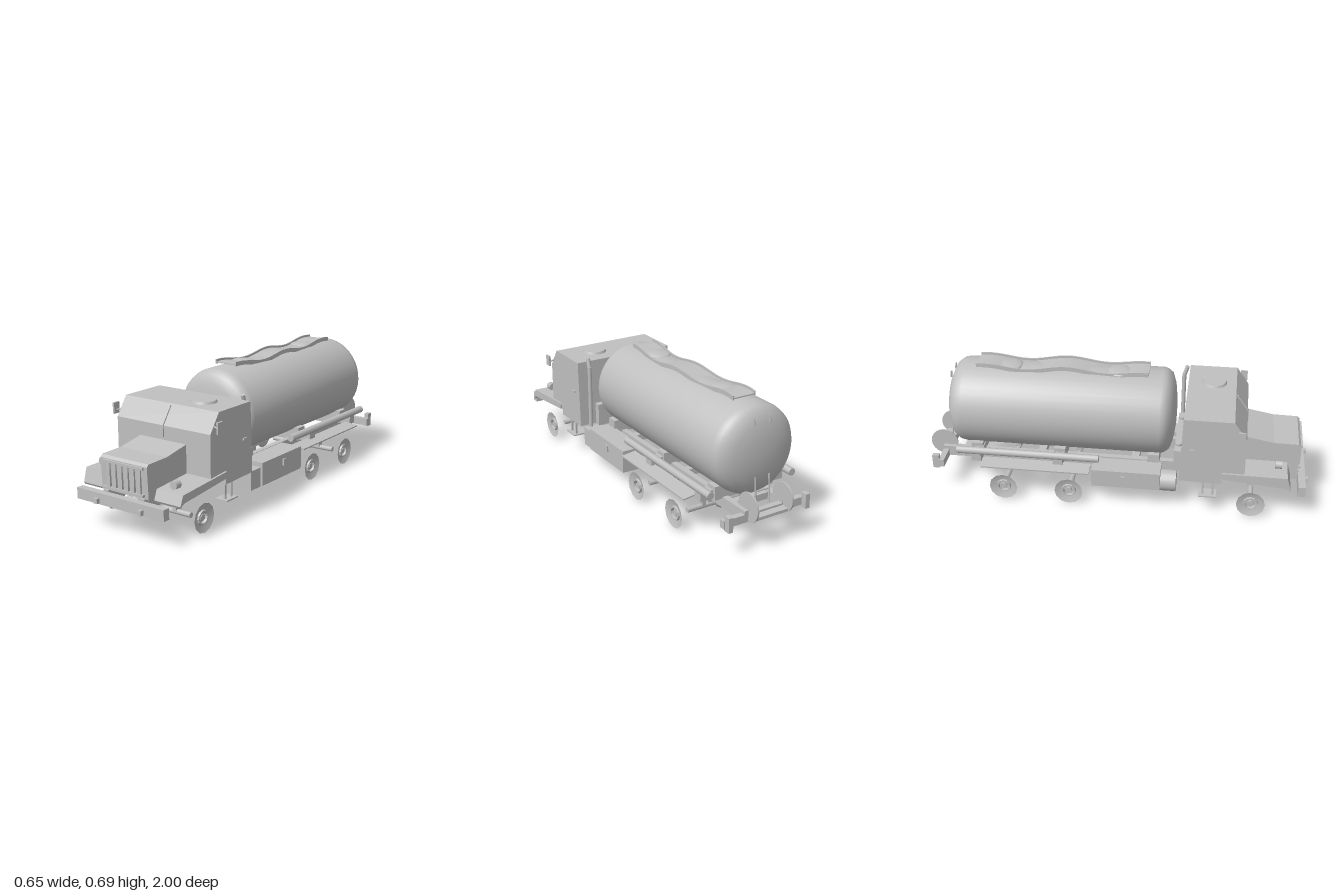
import * as THREE from 'three';
import { toCreasedNormals } from 'three/addons/utils/BufferGeometryUtils.js';

export function createModel() {
  const truck = new THREE.Group();
  truck.name = 'tankTruck';
  const grey = new THREE.MeshStandardMaterial({ color: 0xc0c0c0, side: THREE.DoubleSide });
  grey.name = 'plain grey';

  const add = (name, geo, x = 0, y = 0, z = 0) => {
    const m = new THREE.Mesh(geo, grey);
    m.name = name;
    m.position.set(x, y, z);
    truck.add(m);
    return m;
  };
  // Box given by its limits on each axis
  const box = (name, x0, x1, y0, y1, z0, z1) =>
    add(name, new THREE.BoxGeometry(x1 - x0, y1 - y0, z1 - z0), (x0 + x1) / 2, (y0 + y1) / 2, (z0 + z1) / 2);
  // Side profile of [z, y] points, extruded between x0 and x1
  const slab = (name, pts, x0, x1) => {
    const shape = new THREE.Shape(pts.map(([z, y]) => new THREE.Vector2(z, y)));
    const geo = new THREE.ExtrudeGeometry(shape, { depth: x1 - x0, bevelEnabled: false });
    geo.rotateY(-Math.PI / 2);
    return add(name, geo, x1);
  };
  // Rod between two points
  const rod = (name, a, b, r, sides = 8) => {
    const p = new THREE.Vector3(...a), q = new THREE.Vector3(...b);
    const d = q.clone().sub(p);
    const m = add(name, new THREE.CylinderGeometry(r, r, d.length(), sides));
    m.position.copy(p).add(q).multiplyScalar(0.5);
    m.quaternion.setFromUnitVectors(new THREE.Vector3(0, 1, 0), d.normalize());
    return m;
  };
  const lathe = (pts, sides) => new THREE.LatheGeometry(pts.map(([r, h]) => new THREE.Vector2(r, h)), sides);

  // Tank with domed ends
  const tank = lathe([[0, -0.885], [0.08, -0.88], [0.15, -0.868], [0.2, -0.845], [0.219, -0.82], [0.225, -0.79],
    [0.225, 0.23], [0.219, 0.25], [0.2, 0.275], [0.15, 0.292], [0.08, 0.302], [0, 0.305]], 40);
  tank.rotateX(Math.PI / 2);
  add('tank', toCreasedNormals(tank, 0.6), 0, 0.443, 0);
  for (const z of [0.2, -0.29, -0.73]) box('tankSaddle', -0.17, 0.17, 0.2, 0.27, z - 0.03, z + 0.03);

  // Warped walkway on top of the tank
  const wave = z => 0.011 * Math.cos((z + 0.27) * 15.5);
  const ribbon = (name, w, h, x, y) => {
    const geo = new THREE.BoxGeometry(w, h, 0.89, 1, 1, 24);
    const p = geo.attributes.position;
    for (let i = 0; i < p.count; i++) {
      const z = p.getZ(i) - 0.285;
      p.setXYZ(i, p.getX(i) + x - 0.008 * Math.sin(z * 8), p.getY(i) + y + wave(z), z);
    }
    geo.computeVertexNormals();
    add(name, toCreasedNormals(geo, 0.6));
  };
  ribbon('walkway', 0.115, 0.006, 0, 0.668);
  for (const s of [-1, 1]) ribbon('walkwayEdge', 0.007, 0.022, s * 0.061, 0.671);
  for (const z of [0.01, -0.56])
    add('tankHatch', new THREE.SphereGeometry(0.065, 20, 6, 0, Math.PI * 2, 0, Math.PI / 2).scale(1, 0.25, 1), -0.008, 0.664, z);

  // Rear ladder and vents on the tank
  for (const s of [-1, 1]) {
    rod('rearLadderRail', [s * 0.04, 0.2, -0.9], [s * 0.04, 0.34, -0.888], 0.004, 6);
    rod('rearVent', [s * 0.045, 0.59, -0.873], [s * 0.045, 0.625, -0.868], 0.005, 6);
  }
  rod('rearLadderRung', [-0.04, 0.27, -0.894], [0.04, 0.27, -0.894], 0.004, 6);

  // Cab
  slab('cab', [[0.34, 0.205], [0.555, 0.2], [0.555, 0.23], [0.67, 0.23], [0.67, 0.47], [0.605, 0.564],
    [0.355, 0.564]], -0.285, 0.285);
  add('roofHatch', new THREE.CylinderGeometry(0.06, 0.066, 0.014, 24), 0.11, 0.569, 0.49);
  slab('windscreenBar', [[0.668, 0.415], [0.676, 0.415], [0.676, 0.472], [0.616, 0.558], [0.608, 0.555],
    [0.668, 0.468]], -0.005, 0.008);
  box('cabRearBeam', -0.195, 0.19, 0.2, 0.32, 0.308, 0.345);
  for (const s of [-1, 1]) {
    add('cabRearKnob', new THREE.CylinderGeometry(0.018, 0.018, 0.015, 10), s * 0.132, 0.325, 0.327);
    box('doorHandle', s * 0.288 - 0.004, s * 0.288 + 0.004, 0.385, 0.395, 0.39, 0.42);
    box('mirror', s * 0.318 - 0.005, s * 0.318 + 0.005, 0.475, 0.531, 0.625, 0.662);
    rod('mirrorArm', [s * 0.283, 0.504, 0.64], [s * 0.318, 0.491, 0.645], 0.004, 6);
    // Cab step hung on straps
    box('cabStep', s * 0.24 - 0.035, s * 0.24 + 0.035, 0.103, 0.11, 0.445, 0.535);
    for (const z of [0.465, 0.515]) box('stepStrap', s * 0.25 - 0.005, s * 0.25 + 0.005, 0.105, 0.21, z - 0.005, z + 0.005);
  }
  rod('exhaustPipe', [0.23, 0.2, 0.325], [0.23, 0.54, 0.325], 0.011, 10);
  rod('exhaustTip', [0.23, 0.53, 0.325], [0.23, 0.585, 0.342], 0.011, 10);

  // Hood and grille
  slab('hood', [[0.66, 0.205], [0.94, 0.205], [0.947, 0.36], [0.935, 0.372], [0.81, 0.374], [0.66, 0.402]], -0.14, 0.142);
  for (const y of [0.222, 0.35]) box('grilleRail', -0.12, 0.121, y - 0.006, y + 0.006, 0.94, 0.957);
  for (let i = 0; i < 6; i++) {
    const x = -0.091 + i * 0.037;
    box('grilleSlat', x - 0.011, x + 0.011, 0.222, 0.35, 0.94, 0.953);
  }

  // Front fenders: thin bent sheets with a shallow outer skirt
  const fender = (s, lift) => {
    const top = [[0.905, 0.195], [0.885, 0.238 + lift], [0.56, 0.268]];
    const low = top.map(([z, y]) => [z - 0.006, y - 0.01]).reverse();
    slab('frontFender', [...top, ...low], Math.min(s * 0.143, s * 0.296), Math.max(s * 0.143, s * 0.296));
    slab('fenderSkirt', [[0.905, 0.195], [0.885, 0.238 + lift], [0.56, 0.268], [0.56, 0.235], [0.87, 0.205]],
      s * 0.292 - 0.004, s * 0.292 + 0.004);
  };
  fender(1, 0.006);
  fender(-1, 0.028);
  rod('leftHeadlight', [0.215, 0.266, 0.82], [0.215, 0.266, 0.855], 0.021, 8);
  rod('rightHeadlight', [-0.222, 0.3, 0.82], [-0.222, 0.3, 0.855], 0.021, 8);

  // Bumpers
  box('frontBumper', -0.265, 0.264, 0.142, 0.197, 0.945, 0.982);
  for (const s of [-1, 1]) box('towHook', s * 0.134 - 0.011, s * 0.134 + 0.011, 0.148, 0.172, 0.98, 1);
  box('rearBumper', -0.235, 0.24, 0.15, 0.19, -0.93, -0.9);
  for (const s of [-1, 1]) {
    box('rearPost', s * 0.222 - 0.012, s * 0.222 + 0.012, 0.14, 0.215, -0.96, -0.925);
    add('rearDisc', new THREE.CylinderGeometry(0.073, 0.073, 0.008, 20).rotateZ(Math.PI / 2), s * 0.1, 0.222, -0.926);
  }
  box('rearCrossPlate', -0.1, 0.1, 0.165, 0.18, -0.97, -0.925);

  // Chassis
  for (const s of [-1, 1]) box('frameRail', s * 0.11 - 0.015, s * 0.11 + 0.015, 0.152, 0.208, -0.93, 0.95);
  for (const z of [0.82, 0.45, 0.1, -0.4, -0.8]) box('crossMember', -0.1, 0.1, 0.165, 0.2, z - 0.02, z + 0.02);
  rod('driveShaft', [0, 0.092, 0.7], [0, 0.092, -0.57], 0.008, 8);

  // Axles, springs and dished wheels
  const dish = lathe([[0.008, -0.012], [0.026, -0.012], [0.028, 0.004], [0.036, 0.004], [0.038, -0.006], [0.074, 0.007]], 12);
  const dishGeo = toCreasedNormals(dish, 0.5);
  for (const [z, half] of [[0.712, 0.073], [-0.23, 0.11], [-0.575, 0.07]]) {
    rod('axle', [-0.2, 0.077, z], [0.2, 0.077, z], 0.014, 8);
    add('differential', toCreasedNormals(new THREE.SphereGeometry(0.038, 8, 5), 0.1), 0, 0.077, z);
    for (const s of [-1, 1]) {
      box('leafSpring', s * 0.11 - 0.014, s * 0.11 + 0.014, 0.127, 0.143, z - half, z + half);
      box('springMount', s * 0.11 - 0.01, s * 0.11 + 0.01, 0.077, 0.155, z - 0.015, z + 0.015);
      add('wheel', dishGeo, s * 0.271, 0.08, z).rotation.z = -s * Math.PI / 2;
      add('wheelHub', new THREE.CylinderGeometry(0.016, 0.016, 0.012, 10).rotateZ(Math.PI / 2), s * 0.264, 0.08, z);
    }
  }

  // Side lockers; the right one carries a round reservoir
  box('leftLocker', 0.16, 0.282, 0.105, 0.225, -0.108, 0.245);
  box('leftLockerFront', 0.175, 0.27, 0.1, 0.2, 0.245, 0.33);
  box('rightLocker', -0.28, -0.16, 0.13, 0.225, -0.108, 0.245);
  rod('rightReservoir', [-0.207, 0.148, -0.08], [-0.207, 0.148, 0.325], 0.056, 20);
  for (const s of [-1, 1]) {
    box('lockerLatch', s * 0.285 - 0.004, s * 0.285 + 0.004, 0.165, 0.2, 0.045, 0.065);
    // Side shelf and hose tubes along the tank
    const shelf = box('sideShelf', s * 0.255 - 0.04, s * 0.255 + 0.04, 0.208, 0.215, -0.685, -0.12);
    shelf.rotation.z = -s * 0.12;
    rod('hoseTube', [s * 0.237, 0.268, -0.82], [s * 0.237, 0.268, -0.075], 0.019, 10);
    for (const z of [-0.29, -0.72]) box('tubeBracket', s * 0.18 - 0.06, s * 0.18 + 0.06, 0.205, 0.25, z - 0.025, z + 0.025);
  }
  return truck;
}
